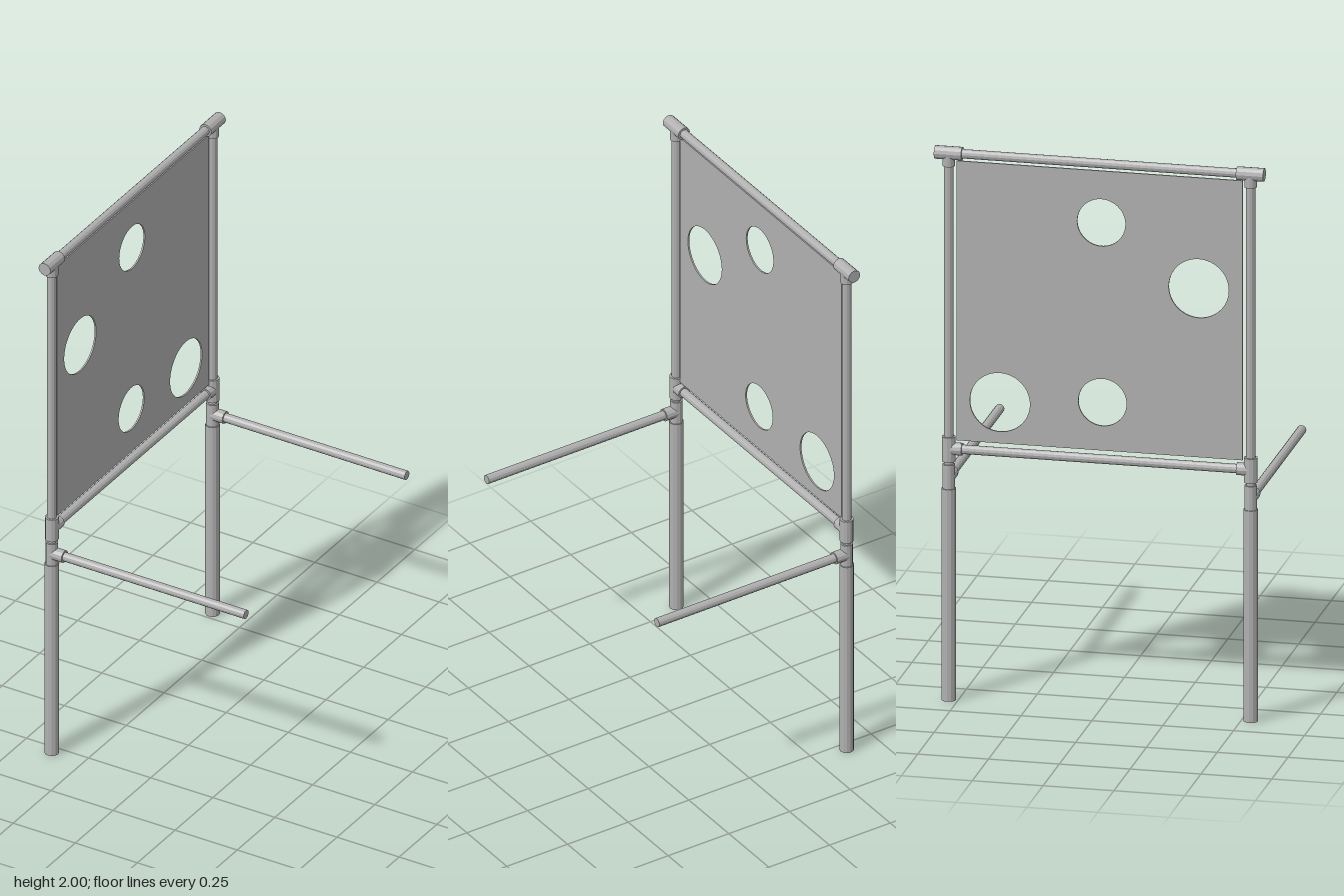
import * as THREE from 'three';

const X = -0.378; // plane of the frame
const Z = 0.533; // half spacing of the posts
const PIPE = 0.0165;
const FIT = 0.024;

export function createModel() {
  const model = new THREE.Group();
  const grey = new THREE.MeshStandardMaterial({ color: 0xb0b0b0, flatShading: true });
  grey.name = 'grey';

  // Straight pipe between two points
  function pipe(name, a, b, radius, parent = model) {
    const from = new THREE.Vector3(...a);
    const dir = new THREE.Vector3(...b).sub(from);
    const mesh = new THREE.Mesh(new THREE.CylinderGeometry(radius, radius, dir.length(), 12), grey);
    mesh.position.copy(from).addScaledVector(dir, 0.5);
    mesh.quaternion.setFromUnitVectors(new THREE.Vector3(0, 1, 0), dir.normalize());
    mesh.name = name;
    parent.add(mesh);
  }

  for (const s of [1, -1]) {
    const side = new THREE.Group();
    side.name = s > 0 ? 'frontPost' : 'backPost';
    const z = s * Z;
    const add = (name, a, b, r) => pipe(name, a, b, r, side);

    // Leg and upright
    add('leg', [X, 0, z], [X, 0.765, z], 0.0255);
    add('upright', [X, 0.765, z], [X, 1.97, z], PIPE);
    // Tee holding the side arm
    add('armTee', [X, 0.765, z], [X, 0.852, z], 0.022);
    add('armSocket', [X, 0.807, z], [-0.326, 0.807, z], 0.0225);
    add('sideArm', [-0.34, 0.807, z], [0.404, 0.807, z], PIPE);
    // Tee holding the lower rail
    add('lowerTee', [X, 0.863, z], [X, 0.952, z], FIT);
    add('lowerSocket', [X, 0.908, z], [X, 0.908, s * 0.485], 0.0225);
    // Tee holding the top rail
    add('topTee', [X, 1.976, s * 0.485], [X, 1.976, s * 0.581], FIT);
    add('topSocket', [X, 1.976, z], [X, 1.93, z], 0.0225);
    model.add(side);
  }

  // Cross rails
  pipe('topRail', [X, 1.976, -0.5], [X, 1.976, 0.5], PIPE);
  pipe('lowerRail', [X, 0.908, -0.5], [X, 0.908, 0.5], PIPE);

  // Target panel with round holes, drawn in (-z, y)
  const shape = new THREE.Shape();
  shape.moveTo(-0.505, 0.94).lineTo(0.505, 0.94).lineTo(0.505, 1.95).lineTo(-0.505, 1.95).closePath();
  const holes = [[0.006, 1.763, 0.085], [0.35, 1.55, 0.106], [0.01, 1.114, 0.085], [-0.352, 1.088, 0.106]];
  for (const [z, y, r] of holes) {
    shape.holes.push(new THREE.Path().absarc(-z, y, r, 0, Math.PI * 2, true));
  }
  const depth = 0.006;
  const panelGeo = new THREE.ExtrudeGeometry(shape, { depth, bevelEnabled: false, curveSegments: 40 });
  const panel = new THREE.Mesh(panelGeo, grey);
  panel.rotation.y = Math.PI / 2;
  panel.position.x = X - depth / 2;
  panel.name = 'targetPanel';
  model.add(panel);

  return model;
}
